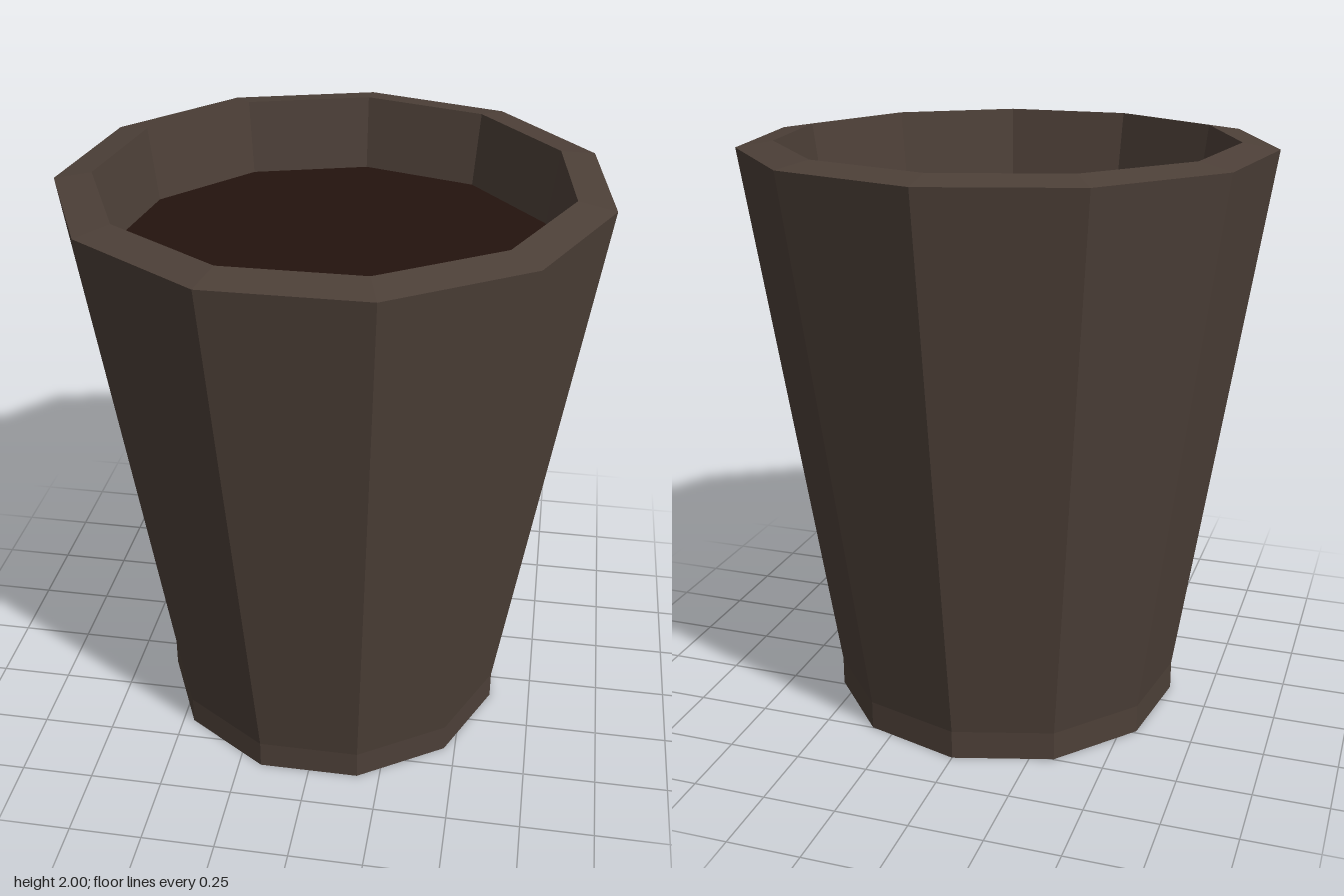
import * as THREE from 'three';

const SIDES = 11;

export function createModel() {
  const group = new THREE.Group();
  group.name = 'plantPot';

  const clay = new THREE.MeshStandardMaterial({ color: 0x4d4038, flatShading: true });
  const earth = new THREE.MeshStandardMaterial({ color: 0x24130e, flatShading: true });

  const add = (name, geometry, material, y = 0) => {
    const mesh = new THREE.Mesh(geometry, material);
    mesh.name = name;
    // a corner points to the back, so the odd-sided pot sits slightly forward
    mesh.position.set(0, y, 0.016);
    group.add(mesh);
  };

  // Outer wall with upright foot, sloped rim and inner wall down to the soil
  const profile = [
    [0.611, 0], [0.611, 0.1], [0.89, 1.98], [0.768, 2], [0.733, 1.75],
  ].map(([r, y]) => new THREE.Vector2(r, y));
  add('potWall', new THREE.LatheGeometry(profile, SIDES, Math.PI), clay);

  // Underside
  add('potBase', new THREE.CircleGeometry(0.611, SIDES, -Math.PI / 2).rotateX(Math.PI / 2), clay);

  // Soil surface
  add('soil', new THREE.CircleGeometry(0.733, SIDES, Math.PI / 2).rotateX(-Math.PI / 2), earth, 1.75);

  return group;
}
